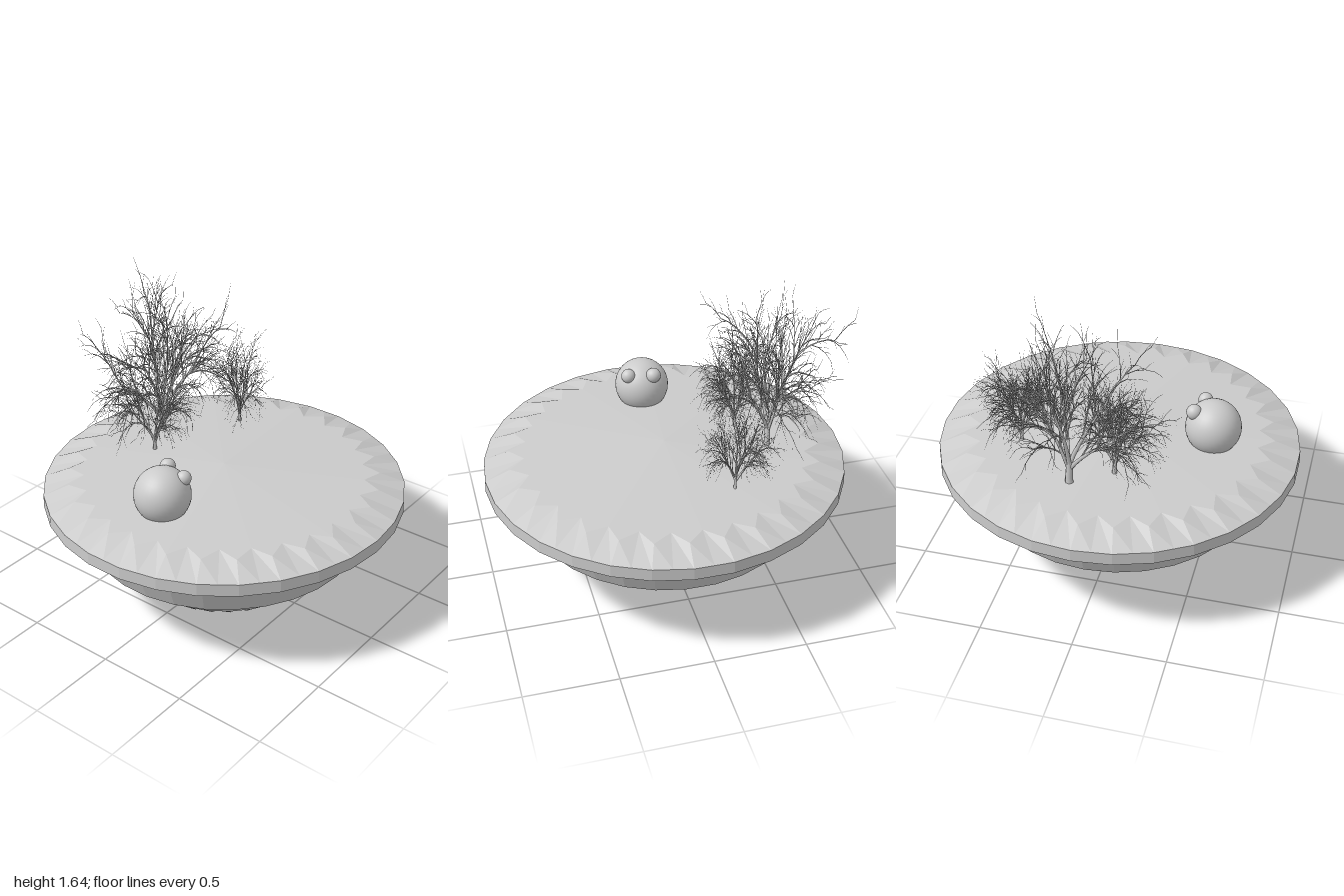
import * as THREE from 'three';

const flat = new THREE.MeshStandardMaterial({ color: 0xcccccc, flatShading: true });
const smooth = new THREE.MeshStandardMaterial({ color: 0xcccccc });

function seeded(seed) {
  let s = seed;
  return () => (s = (s * 16807) % 2147483647) / 2147483647;
}

// Thirty-sided bowl; both caps meet their bevel in a zigzag of teeth
function makeIsland() {
  const profile = [
    [0, 0], [0.46, 0.055], [0.55, 0.13], [0.595, 0.215], [0.76, 0.3],
    [0.835, 0.48], [0.99, 0.555], [0.988, 0.622], [0.85, 0.675], [0, 0.72],
  ].map(([r, y]) => new THREE.Vector2(r, y));
  const last = profile.length - 1;
  const apexOf = { 1: 0, [last - 1]: 0.72 };
  const geometry = new THREE.LatheGeometry(profile, 60);
  const p = geometry.attributes.position;
  for (let column = 1; column <= 60; column += 2) {
    for (let row = 0; row <= last; row++) {
      const i = column * profile.length + row;
      const tooth = row in apexOf;
      const f = tooth ? 0.9 : Math.cos(Math.PI / 30);
      const y = tooth ? apexOf[row] + (p.getY(i) - apexOf[row]) * f : p.getY(i);
      p.setXYZ(i, p.getX(i) * f, y, p.getZ(i) * f);
    }
  }
  geometry.computeVertexNormals();
  const island = new THREE.Mesh(geometry, flat);
  island.name = 'island';
  island.position.z = 0.008;
  return island;
}

// Round boulder with two small bumps
function makeBoulder() {
  const boulder = new THREE.Group();
  boulder.name = 'boulder';
  const ball = (name, r, x, y, z) => {
    const mesh = new THREE.Mesh(new THREE.SphereGeometry(r, 32, 20), smooth);
    mesh.name = name;
    mesh.position.set(x, y, z);
    boulder.add(mesh);
  };
  ball('boulderBody', 0.152, 0, 0, 0);
  ball('bump', 0.042, 0.1, 0.107, -0.045);
  ball('bump', 0.04, 0.064, 0.102, 0.092);
  boulder.position.set(-0.518, 0.778, 0.006);
  return boulder;
}

// Settings for trunk, limb, branch, twig and tip
const LEVELS = [
  { length: 0.14, radius: 0.028, end: 0.8, steps: 3, sides: 8, kids: 6, from: 0.6, droop: 0 },
  { length: 0.46, radius: 0.016, end: 0.3, steps: 6, sides: 6, kids: 7, from: 0.3, droop: 0.06 },
  { length: 0.3, radius: 0.007, end: 0.3, steps: 5, sides: 4, kids: 6, from: 0.25, droop: 0.2 },
  { length: 0.17, radius: 0.0032, end: 0.4, steps: 3, sides: 3, kids: 3, from: 0.3, droop: 0.3 },
  { length: 0.09, radius: 0.0018, end: 0.3, steps: 2, sides: 3, kids: 0, from: 0, droop: 0.3 },
];
const UP = new THREE.Vector3(0, 1, 0);

// Bare tree grown by recursion, then fitted to a height and spread
function makeTree({ x, z, height, spreadX, spreadZ, seed }) {
  const random = seeded(seed);
  const positions = [], indices = [];

  function grow(start, direction, level, scale) {
    const L = LEVELS[level];
    const path = [start.clone()], headings = [direction.clone()];
    const at = start.clone(), heading = direction.clone();
    for (let s = 0; s < L.steps; s++) {
      at.addScaledVector(heading, (L.length * scale) / L.steps);
      // The more a branch leans out, the more it arches over
      heading.y -= L.droop * Math.hypot(heading.x, heading.z);
      heading.x += (random() - 0.5) * 0.16;
      heading.z += (random() - 0.5) * 0.16;
      heading.normalize();
      path.push(at.clone());
      headings.push(heading.clone());
    }
    // Tapered tube along the path
    const first = positions.length / 3;
    const u = new THREE.Vector3(1, 0, 0);
    if (Math.abs(direction.x) > 0.8) u.set(0, 0, 1);
    path.forEach((point, s) => {
      u.addScaledVector(headings[s], -u.dot(headings[s])).normalize();
      const v = new THREE.Vector3().crossVectors(headings[s], u);
      const r = L.radius * (0.5 + 0.5 * scale) * THREE.MathUtils.lerp(1, L.end, s / L.steps);
      for (let k = 0; k < L.sides; k++) {
        const a = (k / L.sides) * Math.PI * 2;
        const c = Math.cos(a) * r, d = Math.sin(a) * r;
        positions.push(point.x + u.x * c + v.x * d, point.y + u.y * c + v.y * d, point.z + u.z * c + v.z * d);
        if (s === L.steps) continue;
        const i = first + s * L.sides + k;
        const j = first + s * L.sides + ((k + 1) % L.sides);
        indices.push(i, j, i + L.sides, j, j + L.sides, i + L.sides);
      }
    });
    // Offshoots spiral around the branch
    const turn = random() * Math.PI * 2;
    for (let k = 0; k < L.kids; k++) {
      const t = THREE.MathUtils.lerp(L.from, 1, k / (L.kids - 1)) * L.steps;
      const s = Math.min(Math.floor(t), L.steps - 1);
      const root = path[s].clone().lerp(path[s + 1], t - s);
      const axis = headings[s];
      const side = new THREE.Vector3(axis.z, 0.01, 0.02 - axis.x);
      side.addScaledVector(axis, -side.dot(axis)).normalize();
      side.applyAxisAngle(axis, turn + k * 2.4);
      const tilt = 0.35 + random() * 0.4;
      const out = axis.clone().multiplyScalar(Math.cos(tilt)).addScaledVector(side, Math.sin(tilt));
      if (level > 0) out.addScaledVector(UP, 0.15);
      grow(root, out.normalize(), level + 1, 0.75 + random() * 0.4);
    }
  }
  grow(new THREE.Vector3(), UP.clone(), 0, 1);

  const geometry = new THREE.BufferGeometry();
  geometry.setAttribute('position', new THREE.Float32BufferAttribute(positions, 3));
  geometry.setIndex(indices);
  geometry.computeBoundingBox();
  const { min, max } = geometry.boundingBox;
  geometry.scale(
    spreadX / Math.max(max.x, -min.x),
    height / max.y,
    spreadZ / Math.max(max.z, -min.z),
  );
  geometry.computeVertexNormals();
  const tree = new THREE.Mesh(geometry, smooth);
  tree.position.set(x, 0.68, z);
  return tree;
}

export function createModel() {
  const model = new THREE.Group();
  model.name = 'floatingIsland';
  model.add(makeIsland(), makeBoulder());
  const trees = [
    { name: 'largeTree', x: 0.13, z: -0.54, height: 0.96, spreadX: 0.55, spreadZ: 0.45, seed: 71 },
    { name: 'mediumTree', x: -0.08, z: -0.42, height: 0.62, spreadX: 0.32, spreadZ: 0.26, seed: 512 },
    { name: 'smallTree', x: 0.48, z: -0.25, height: 0.6, spreadX: 0.27, spreadZ: 0.25, seed: 9043 },
  ];
  for (const spec of trees) {
    const tree = makeTree(spec);
    tree.name = spec.name;
    model.add(tree);
  }
  return model;
}
